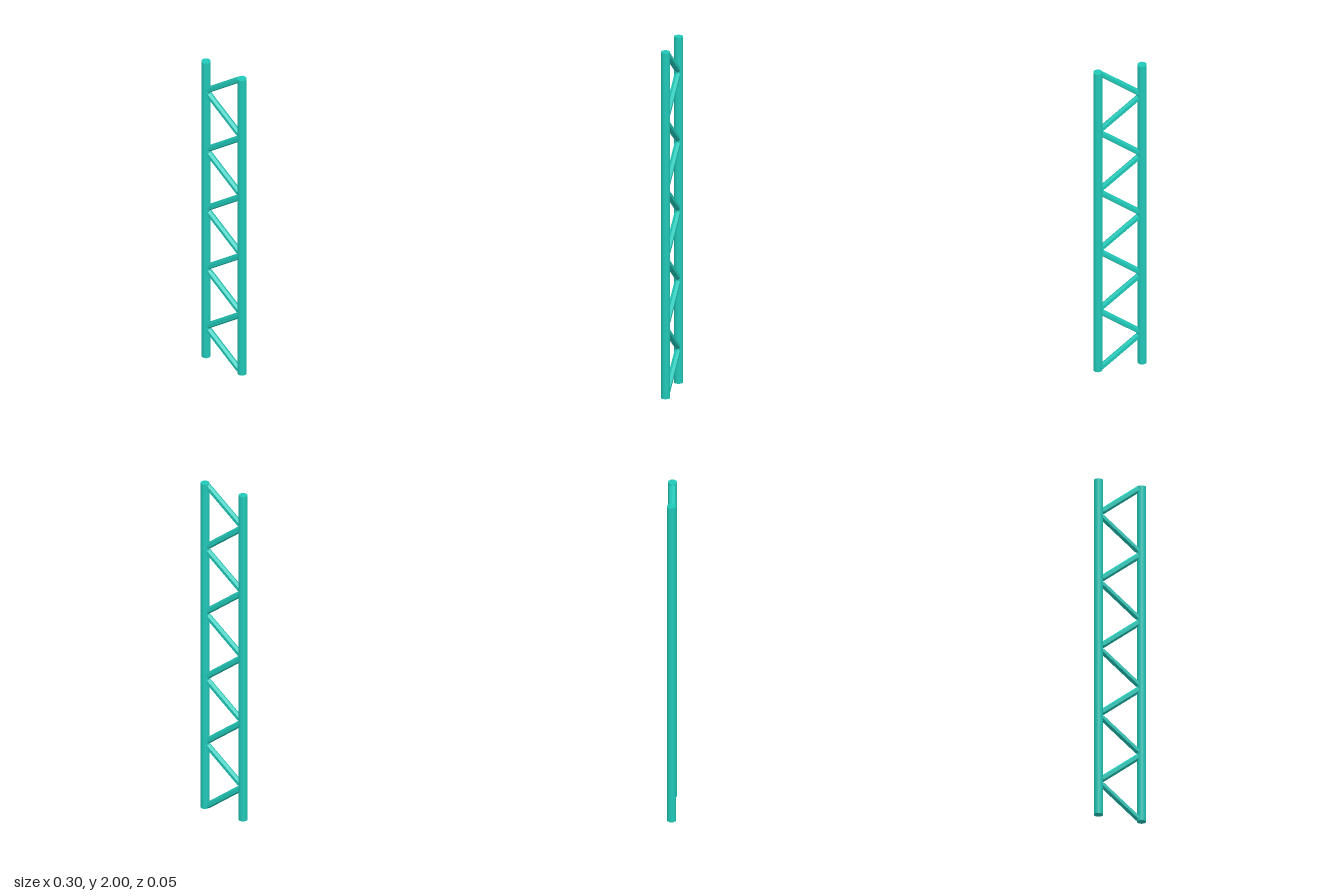
import * as THREE from 'three';

const HEIGHT = 2;
const RAIL_X = 0.125;
const RAIL_R = 0.025;
const BAYS = 10;

export function createModel() {
  const group = new THREE.Group();
  group.name = 'ladderTruss';
  const smooth = new THREE.MeshStandardMaterial({ color: 0x20c8b8 });
  const faceted = new THREE.MeshStandardMaterial({ color: 0x20c8b8, flatShading: true });

  // Two upright round tubes
  const railGeo = new THREE.CylinderGeometry(RAIL_R, RAIL_R, HEIGHT, 32);
  for (const side of [-1, 1]) {
    const rail = new THREE.Mesh(railGeo, smooth);
    rail.name = side > 0 ? 'leftRail' : 'rightRail';
    rail.position.set(side * RAIL_X, HEIGHT / 2, 0);
    group.add(rail);
  }

  // Zigzag of hexagonal braces, ending just inside the tubes
  const step = HEIGHT / BAYS;
  const length = Math.hypot(2 * RAIL_X, step) * (0.106 / RAIL_X);
  const braceGeo = new THREE.CylinderGeometry(0.0175, 0.0175, length, 6);
  braceGeo.rotateY(Math.PI / 6); // flats face front and back
  const tilt = Math.atan2(2 * RAIL_X, step);
  for (let i = 0; i < BAYS; i++) {
    const brace = new THREE.Mesh(braceGeo, faceted);
    brace.name = `brace${i + 1}`;
    brace.position.y = (i + 0.5) * step;
    brace.rotation.z = i % 2 === 0 ? tilt : -tilt;
    group.add(brace);
  }
  return group;
}
